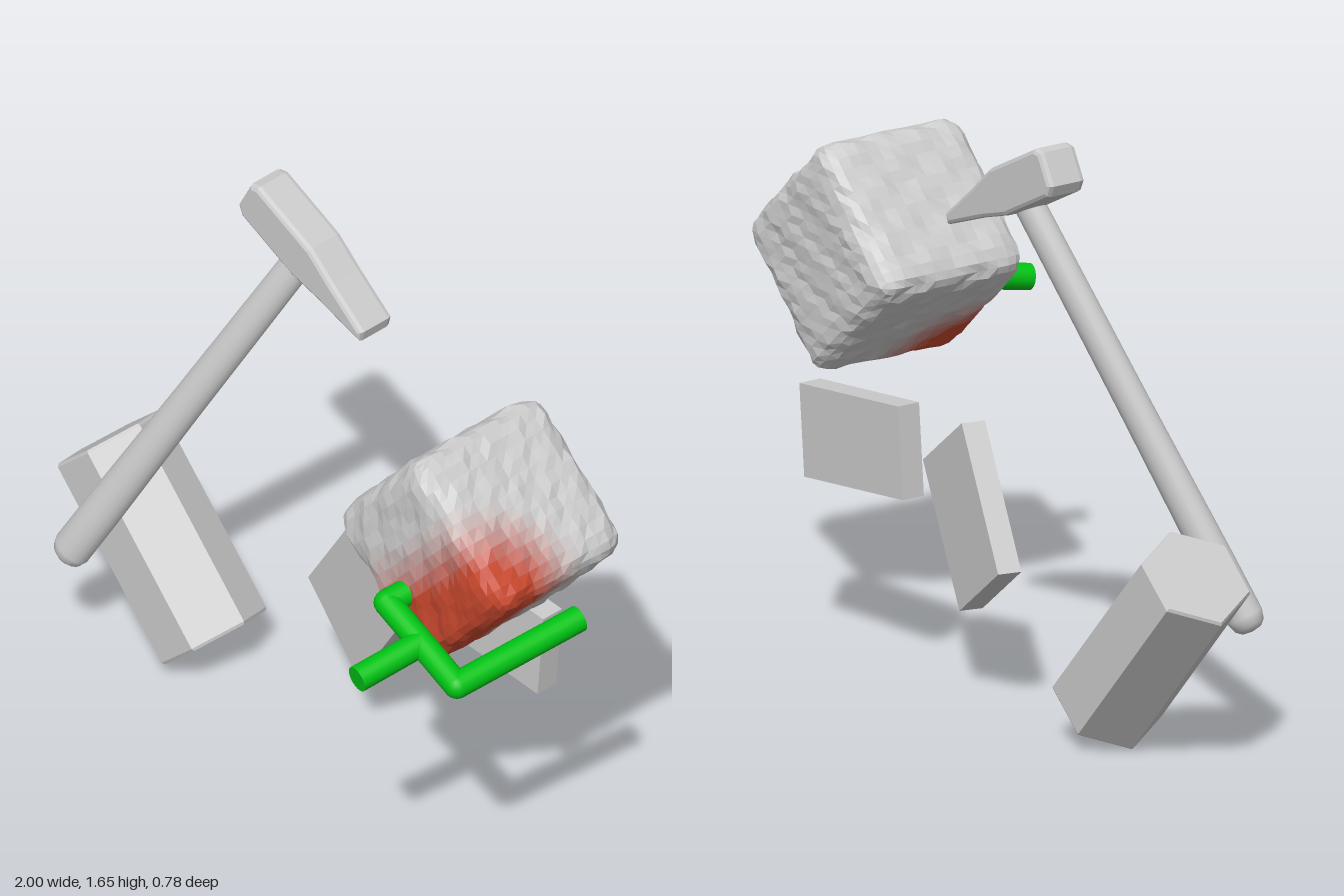
import * as THREE from 'three';

const V = (x, y, z) => new THREE.Vector3(x, y, z);
const flat = (color = 0xcccccc) => new THREE.MeshStandardMaterial({ color, flatShading: true });
const smooth = (color = 0xcccccc) => new THREE.MeshStandardMaterial({ color });

function part(name, geometry, material) {
  const mesh = new THREE.Mesh(geometry, material);
  mesh.name = name;
  return mesh;
}

// Turn a geometry built along +y so that it runs from a to b (origin at the middle)
function align(mesh, a, b) {
  mesh.position.copy(a).lerp(b, 0.5);
  mesh.quaternion.setFromUnitVectors(V(0, 1, 0), b.clone().sub(a).normalize());
  return mesh;
}

function rod(name, a, b, radius, material) {
  return align(part(name, new THREE.CylinderGeometry(radius, radius, a.distanceTo(b), 20), material), a, b);
}

// Slab given by its centre and three edge vectors
function slab(name, centre, u, v, w) {
  const geo = new THREE.BoxGeometry(1, 1, 1);
  geo.applyMatrix4(new THREE.Matrix4().makeBasis(u, v, w).setPosition(centre));
  return part(name, geo, flat());
}

// Hexagonal block with slightly softened ends, flats facing front and back
function hexBlock() {
  const a = V(-0.885, 0.567, -0.25), b = V(-0.475, 0.113, -0.25);
  const h = a.distanceTo(b) / 2, r = 0.156;
  const profile = [[0, -h], [r - 0.006, -h], [r, -h + 0.008], [r, h - 0.008], [r - 0.006, h], [0, h]];
  const geo = new THREE.LatheGeometry(profile.map(p => new THREE.Vector2(...p)), 6);
  geo.rotateY(Math.PI / 6).scale(1, 1, 1.035);
  return align(part('hexagonalBlock', geo, flat()), a, b);
}

function hammer() {
  const group = new THREE.Group();
  group.name = 'hammer';

  // Handle: tapered shaft with a rounded butt
  const a = V(-0.79, 0.345, 0.008), b = V(-0.2, 1.49, -0.32), h = a.distanceTo(b) / 2;
  const profile = [[0, -h], [0.03, -h + 0.004], [0.047, -h + 0.018], [0.056, -h + 0.045],
    [0.056, -h + 0.2], [0.05, 0], [0.046, h], [0, h]];
  const handle = new THREE.LatheGeometry(profile.map(p => new THREE.Vector2(...p)), 18);
  handle.scale(1, 1, 0.88);
  group.add(align(part('hammerHandle', handle, smooth()), a, b));

  // Head: blunt face on one side, wedge on the other
  const outline = [[-0.355, 1.645], [-0.395, 1.57], [-0.385, 1.547], [-0.2, 1.452],
    [-0.1, 1.422], [0.05, 1.367], [0.053, 1.38], [-0.06, 1.475], [-0.14, 1.548], [-0.335, 1.648]];
  const shape = new THREE.Shape(outline.map(p => new THREE.Vector2(...p)));
  const head = new THREE.ExtrudeGeometry(shape, {
    depth: 0.09, bevelEnabled: true, bevelThickness: 0.016, bevelSize: 0.012, bevelSegments: 2,
  });
  head.translate(0, 0, -0.373);
  group.add(part('hammerHead', head, flat()));
  return group;
}

// Rounded, uneven cube standing on an edge, with a glowing patch near one corner
function roughCube() {
  const half = 0.244, radius = 0.065, core = half - radius;
  const geo = new THREE.BoxGeometry(2 * half, 2 * half, 2 * half, 14, 14, 14);
  const pos = geo.attributes.position, p = V(), c = V();
  for (let i = 0; i < pos.count; i++) {
    p.fromBufferAttribute(pos, i);
    c.copy(p).clampScalar(-core, core);
    const n = p.clone().sub(c).normalize();
    const lump = Math.sin(p.x * 47 + p.y * 29 + 1) * Math.sin(p.y * 53 - p.z * 31)
      + Math.sin(p.z * 59 + p.x * 37 + 2) * Math.sin(p.x * 23 - p.y * 41);
    p.copy(c).addScaledVector(n, radius + 0.004 * lump);
    pos.setXYZ(i, p.x, p.y, p.z);
  }
  geo.rotateZ(THREE.MathUtils.degToRad(47.5)).translate(0.66, 1.107, -0.14);

  // Sort the triangles into tones by distance from the hot edge
  const tones = 12, bins = Array.from({ length: tones }, () => []);
  const hot = new THREE.Line3(V(0.67, 0.83, 0.07), V(0.92, 1.08, 0.07));
  const tris = geo.toNonIndexed().attributes.position;
  for (let i = 0; i < tris.count; i += 3) {
    const corners = [0, 1, 2].map(k => V().fromBufferAttribute(tris, i + k));
    const mid = corners[0].clone().add(corners[1]).add(corners[2]).divideScalar(3);
    const d = hot.closestPointToPoint(mid, true, V()).distanceTo(mid);
    const heat = 1 - THREE.MathUtils.smoothstep(d, 0.1, 0.31);
    bins[Math.round(heat * (tones - 1))].push(...corners);
  }
  const group = new THREE.Group();
  group.name = 'roughCube';
  bins.forEach((points, i) => {
    if (!points.length) return;
    const g = new THREE.BufferGeometry().setFromPoints(points);
    g.computeVertexNormals();
    const color = new THREE.Color(0xcccccc).lerp(new THREE.Color(0xc8482e), i / (tones - 1));
    group.add(part(i ? 'heatedSurface' + i : 'cubeSurface', g, flat(color)));
  });
  return group;
}

// Two-pronged gripper: cross bar, two prongs and a stem
function gripper() {
  const group = new THREE.Group();
  group.name = 'gripper';
  const green = smooth(0x00c414), r = 0.037;
  const left = V(0.912, 0.888, 0.195), right = V(0.605, 0.985, 0.157);
  const reach = V(0.06, 0.052, -0.4);
  group.add(
    rod('gripperBar', right, left, r, green),
    rod('gripperStem', V(0.755, 0.938, 0.178), V(0.722, 0.905, 0.385), r, green));
  for (const [side, end] of [['left', left], ['right', right]]) {
    group.add(rod(side + 'Prong', end, end.clone().add(reach), r, green));
    const joint = part(side + 'Joint', new THREE.SphereGeometry(r, 20, 12), green);
    joint.position.copy(end);
    group.add(joint);
  }
  return group;
}

export function createModel() {
  const model = new THREE.Group();
  model.name = 'toolsAndBlocks';
  model.add(
    hexBlock(),
    hammer(),
    slab('tiltedPlate', V(0.07, 0.515, -0.292), V(0.255, -0.175, 0.06), V(0.245, 0.355, 0.06), V(-0.016, 0, 0.066)),
    slab('uprightPlate', V(0.483, 0.64, -0.355), V(0.445, -0.042, 0), V(0.022, 0.258, 0), V(0, 0, 0.07)),
    roughCube(),
    gripper());
  return model;
}
